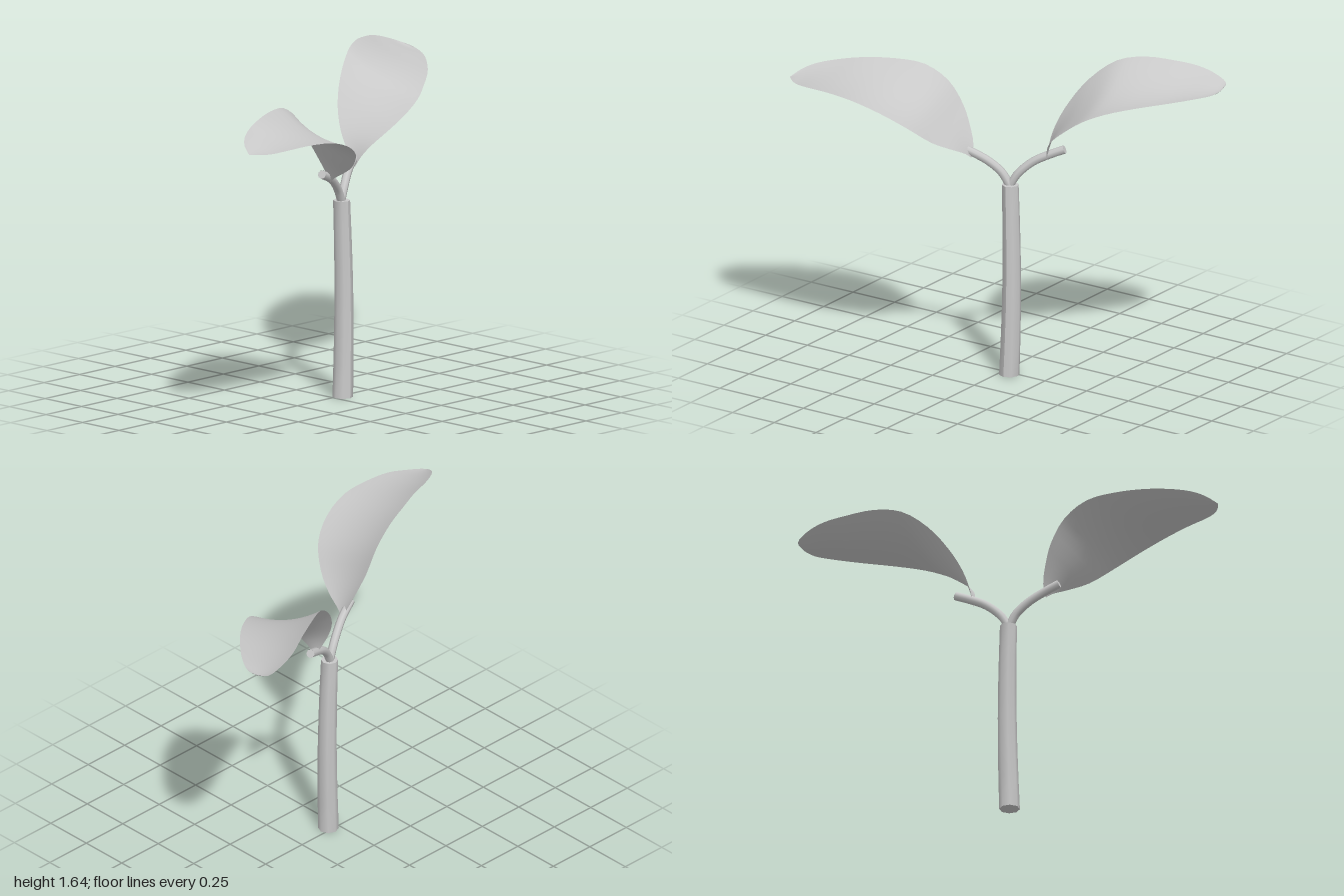
import * as THREE from 'three';

const V = (p) => new THREE.Vector3(...p);

// Leaf blade lofted between a back and a front edge curve, with a gently cupped cross-section
function makeLeaf(back, front, sag, flip) {
  const cb = new THREE.CatmullRomCurve3(back.map(V));
  const cf = new THREE.CatmullRomCurve3(front.map(V));
  const rows = 33, cols = 10, pos = [], idx = [];
  for (let i = 0; i <= rows; i++) {
    const t = i / rows;
    const a = cb.getPoint(t), b = cf.getPoint(t);
    const along = cb.getTangent(t).add(cf.getTangent(t));
    const across = b.clone().sub(a);
    const width = across.length();
    const normal = along.cross(across).normalize();
    if (normal.y > 0) normal.negate();
    for (let j = 0; j <= cols; j++) {
      const s = j / cols;
      const p = a.clone().lerp(b, s).addScaledVector(normal, sag * width * 4 * s * (1 - s));
      pos.push(p.x, p.y, p.z);
    }
  }
  const n = cols + 1;
  for (let i = 0; i < rows; i++) {
    for (let j = 0; j < cols; j++) {
      const a = i * n + j, b = a + 1, c = a + n, d = c + 1;
      if (flip) idx.push(a, c, b, b, c, d);
      else idx.push(a, b, c, b, d, c);
    }
  }
  const geo = new THREE.BufferGeometry();
  geo.setAttribute('position', new THREE.Float32BufferAttribute(pos, 3));
  geo.setIndex(idx);
  geo.computeVertexNormals();
  return geo;
}

export function createModel() {
  const group = new THREE.Group();
  const grey = new THREE.MeshStandardMaterial({ color: 0xc8c8c8, side: THREE.DoubleSide });
  grey.name = 'pale grey';
  const add = (name, geo) => {
    const mesh = new THREE.Mesh(geo, grey);
    mesh.name = name;
    group.add(mesh);
    return mesh;
  };

  // Main stem, leaning very slightly towards its top
  const stemGeo = new THREE.CylinderGeometry(0.042, 0.051, 0.99, 8, 6);
  stemGeo.translate(0, 0.495, 0);
  const p = stemGeo.attributes.position;
  for (let i = 0; i < p.count; i++) {
    const t = p.getY(i) / 0.99;
    p.setX(i, p.getX(i) + 0.05 + 0.012 * Math.sin(t * Math.PI));
    p.setZ(i, p.getZ(i) + 0.02 - 0.008 * t);
  }
  stemGeo.computeVertexNormals();
  add('stem', stemGeo);

  // Two leaf stalks forking from the stem top, with closed ends
  const stalks = {
    leftStalk: [[0.045, 0.98, 0.012], [0.085, 1.05, -0.005], [0.15, 1.115, -0.04], [0.22, 1.155, -0.072], [0.295, 1.19, -0.105]],
    rightStalk: [[0.05, 0.98, 0.012], [0.01, 1.05, 0.027], [-0.05, 1.105, 0.055], [-0.11, 1.14, 0.083], [-0.195, 1.175, 0.115]],
  };
  for (const [name, pts] of Object.entries(stalks)) {
    const curve = new THREE.CatmullRomCurve3(pts.map(V));
    add(name, new THREE.TubeGeometry(curve, 16, 0.021, 8));
    const cap = add(name + 'End', new THREE.CircleGeometry(0.021, 8));
    cap.position.copy(curve.getPoint(1));
    cap.lookAt(cap.position.clone().add(curve.getTangent(1)));
  }

  // Left leaf: back edge, then front edge, from base to tip
  add('leftLeaf', makeLeaf(
    [[0.22, 1.12, -0.06], [0.205, 1.2, -0.1], [0.21, 1.29, -0.15], [0.25, 1.4, -0.21], [0.33, 1.52, -0.27], [0.45, 1.62, -0.335],
      [0.57, 1.645, -0.4], [0.7, 1.635, -0.46], [0.81, 1.615, -0.51], [0.9, 1.59, -0.525], [0.98, 1.56, -0.51], [1, 1.545, -0.44]],
    [[0.22, 1.12, -0.06], [0.235, 1.17, -0.035], [0.27, 1.23, 0.005], [0.33, 1.29, 0.045], [0.42, 1.36, 0.075], [0.52, 1.43, 0.075],
      [0.62, 1.475, 0.02], [0.74, 1.505, -0.07], [0.85, 1.52, -0.18], [0.94, 1.53, -0.29], [0.99, 1.535, -0.38], [1, 1.545, -0.44]],
    0.07, true));

  // Right leaf
  add('rightLeaf', makeLeaf(
    [[-0.12, 1.12, 0.1], [-0.13, 1.18, 0.07], [-0.17, 1.27, 0.045], [-0.22, 1.36, 0.03], [-0.3, 1.47, 0.04], [-0.42, 1.54, 0.07],
      [-0.56, 1.555, 0.12], [-0.7, 1.55, 0.18], [-0.82, 1.53, 0.23], [-0.92, 1.505, 0.29], [-0.97, 1.48, 0.34], [-1, 1.45, 0.4]],
    [[-0.12, 1.12, 0.1], [-0.13, 1.15, 0.14], [-0.15, 1.19, 0.22], [-0.2, 1.25, 0.33], [-0.28, 1.34, 0.43], [-0.4, 1.41, 0.49],
      [-0.55, 1.455, 0.52], [-0.7, 1.465, 0.515], [-0.83, 1.46, 0.5], [-0.92, 1.45, 0.465], [-0.97, 1.45, 0.43], [-1, 1.45, 0.4]],
    0.07, false));

  return group;
}
